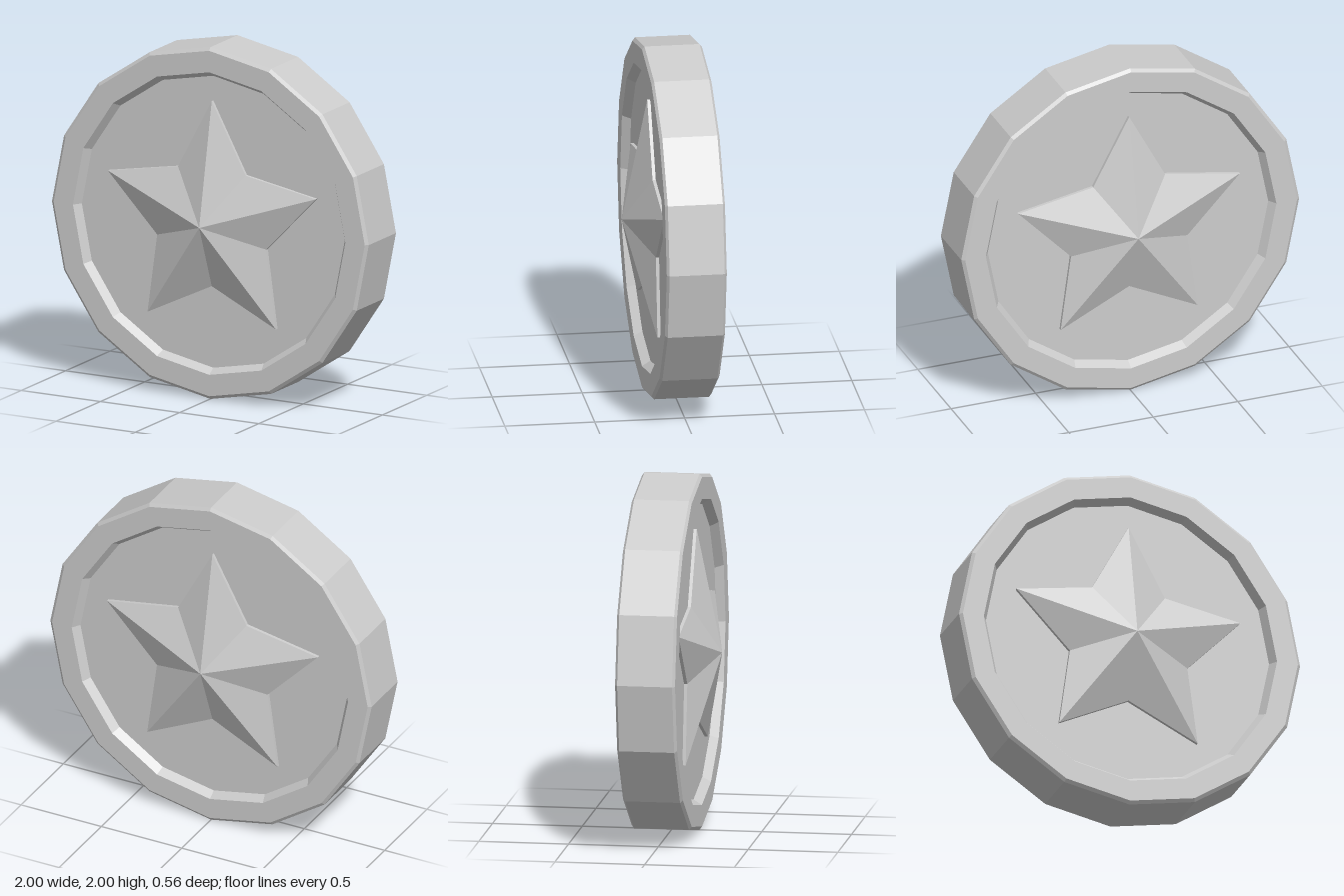
import * as THREE from 'three';

const FLOOR = 0.12; // half thickness at the recessed faces
const material = new THREE.MeshStandardMaterial({ color: 0xcccccc, flatShading: true });

// Sixteen-sided disc with bevelled rim and a recess on both faces
function createDisc() {
  const half = [[1, 0.153], [0.982, 0.167], [0.86, 0.167], [0.83, FLOOR], [0, FLOOR]];
  const back = half.map(([r, z]) => [r, -z]).reverse();
  const profile = [...back, ...half].map(([r, z]) => new THREE.Vector2(r, z));
  const geometry = new THREE.LatheGeometry(profile, 16).rotateX(Math.PI / 2);
  const disc = new THREE.Mesh(geometry, material);
  disc.name = 'disc';
  return disc;
}

// Faceted five-pointed star: ridged top rising to a peak, with a low side wall
function createStar(name) {
  const outer = 0.69, inner = 0.362, edge = 0.138, peak = 0.28;
  const corner = (i, z) => {
    const r = i % 2 ? inner : outer;
    const a = Math.PI / 2 + (i * Math.PI) / 5;
    return [r * Math.cos(a), r * Math.sin(a), z];
  };
  const positions = [];
  for (let i = 0; i < 10; i++) {
    const a = corner(i, edge), b = corner(i + 1, edge);
    const c = corner(i, FLOOR), d = corner(i + 1, FLOOR);
    positions.push(...a, ...b, 0, 0, peak); // sloping facet
    positions.push(...c, ...d, ...b, ...c, ...b, ...a); // side wall
  }
  const geometry = new THREE.BufferGeometry();
  geometry.setAttribute('position', new THREE.Float32BufferAttribute(positions, 3));
  geometry.computeVertexNormals();
  const star = new THREE.Mesh(geometry, material);
  star.name = name;
  return star;
}

export function createModel() {
  const model = new THREE.Group();
  model.name = 'starCoin';
  const backStar = createStar('backStar');
  backStar.rotation.y = Math.PI;
  model.add(createDisc(), createStar('frontStar'), backStar);
  model.children.forEach((part) => { part.position.y = 1; });
  return model;
}
